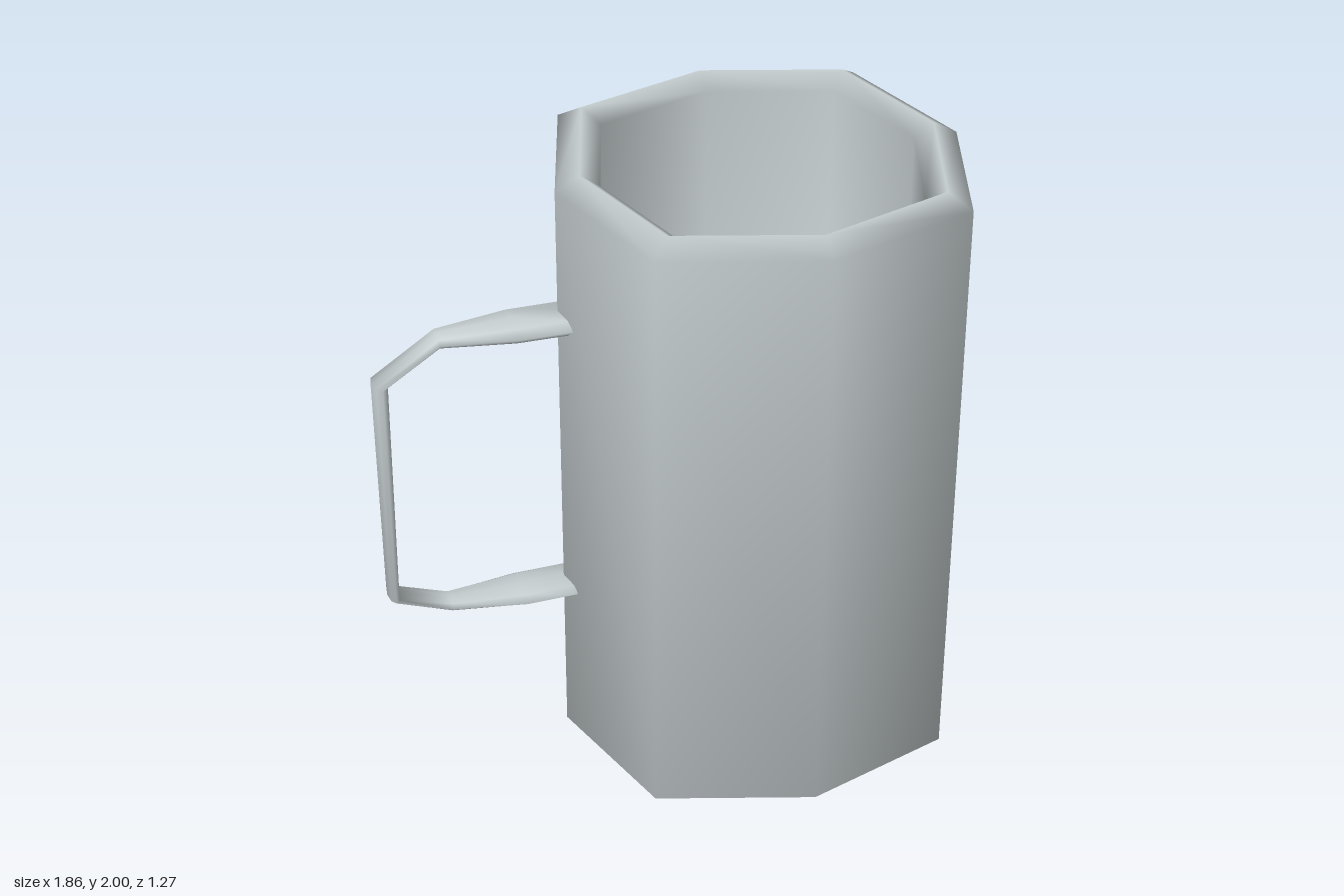
import * as THREE from 'three';

const SIDES = 8;
const CENTER_X = 0.29;

// Eight-sided cup: outer wall, bevelled rim, inner wall and floor in one profile
function cupGeometry() {
  const profile = [
    [0, 0], [0.637, 0], [0.637, 1.955], [0.56, 2],
    [0.498, 1.955], [0.498, 0.1], [0, 0.1],
  ].map(([r, y]) => new THREE.Vector2(r, y));
  const geometry = new THREE.LatheGeometry(profile, SIDES);
  // push the diagonal corners out a little
  const pos = geometry.attributes.position;
  for (let i = 0; i < pos.count; i++) {
    const x = pos.getX(i), z = pos.getZ(i);
    if (Math.abs(x) > 0.01 && Math.abs(z) > 0.01) {
      pos.setX(i, x * 1.08);
      pos.setZ(i, z * 1.08);
    }
  }
  return geometry;
}

// Loft of elliptical sections: [x, y, normalX, normalY, halfThickness, halfWidth, z]
function handleGeometry() {
  const sections = [
    [-0.32, 1.52, 0, 1, 0.035, 0.088, -0.007],
    [-0.49, 1.522, 0, 1, 0.034, 0.088, -0.007],
    [-0.72, 1.52, 0, 1, 0.02, 0.05, -0.01],
    [-0.903, 1.4, -1, 0, 0.026, 0.052, -0.008],
    [-0.902, 0.62, -1, 0, 0.018, 0.052, -0.008],
    [-0.72, 0.552, 0, -1, 0.018, 0.05, -0.01],
    [-0.49, 0.55, 0, -1, 0.025, 0.088, -0.007],
    [-0.325, 0.552, 0, -1, 0.028, 0.088, -0.007],
  ];
  const points = [], index = [];
  sections.forEach(([x, y, nx, ny, t, w, z], s) => {
    for (let i = 0; i < SIDES; i++) {
      const a = (i / SIDES) * Math.PI * 2;
      const c = Math.cos(a) * t;
      points.push(x + nx * c, y + ny * c, z + Math.sin(a) * w);
      if (s < sections.length - 1) {
        const a0 = s * SIDES + i, a1 = s * SIDES + (i + 1) % SIDES;
        index.push(a0, a0 + SIDES, a1, a1, a0 + SIDES, a1 + SIDES);
      }
    }
  });
  // end caps
  const last = (sections.length - 1) * SIDES;
  for (let i = 1; i < SIDES - 1; i++) {
    index.push(0, i, i + 1, last, last + i + 1, last + i);
  }
  const geometry = new THREE.BufferGeometry();
  geometry.setAttribute('position', new THREE.Float32BufferAttribute(points, 3));
  geometry.setIndex(index);
  geometry.computeVertexNormals();
  return geometry;
}

export function createModel() {
  const group = new THREE.Group();
  group.name = 'mug';
  const glaze = new THREE.MeshStandardMaterial({ color: 0xc6ced0 });
  glaze.name = 'pale grey glaze';

  const cup = new THREE.Mesh(cupGeometry(), glaze);
  cup.name = 'cup';
  cup.position.x = CENTER_X;
  group.add(cup);

  const handle = new THREE.Mesh(handleGeometry(), glaze);
  handle.name = 'handle';
  group.add(handle);
  return group;
}
